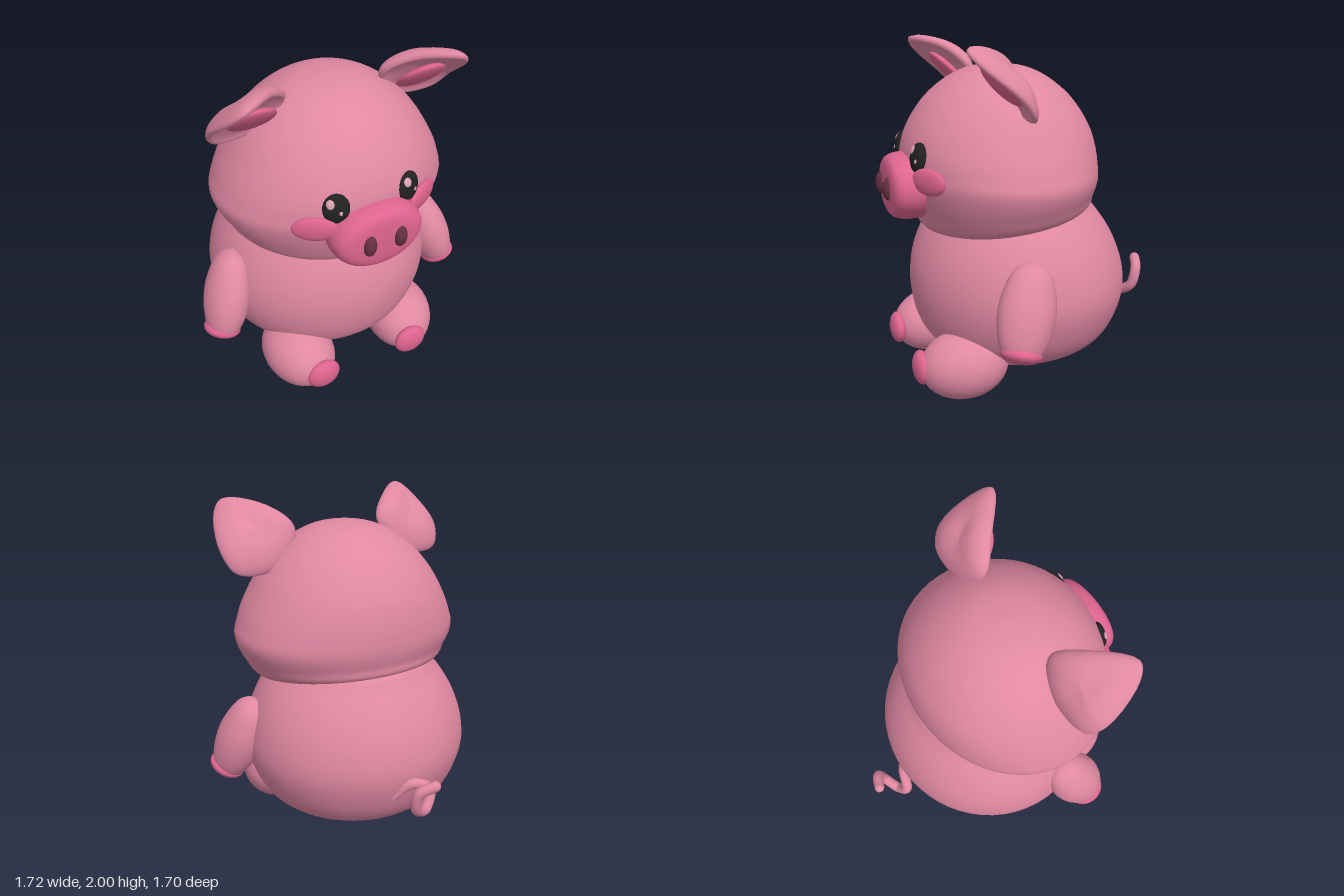
import * as THREE from 'three';

const mat = (name, color) => {
  const m = new THREE.MeshStandardMaterial({ color });
  m.name = name;
  return m;
};
const V = (x, y, z) => new THREE.Vector3(x, y, z);

// Smooth closed skin over a grid of points: at(row 0..1, around 0..1)
function skin(rows, cols, at) {
  const pos = [], index = [];
  for (let i = 0; i <= rows; i++) {
    for (let j = 0; j < cols; j++) {
      const p = at(i / rows, j / cols);
      pos.push(p.x, p.y, p.z);
      if (i === rows) continue;
      const a = i * cols + j, b = i * cols + (j + 1) % cols;
      index.push(a, b, b + cols, a, b + cols, a + cols);
    }
  }
  const g = new THREE.BufferGeometry();
  g.setAttribute('position', new THREE.Float32BufferAttribute(pos, 3));
  g.setIndex(index);
  g.computeVertexNormals();
  return g;
}

// Elliptical sections, bottom to top: [y, half width, front z, back z, tilt]
function loft(sections) {
  const spline = (a, b) => new THREE.SplineCurve(sections.map(s => new THREE.Vector2(s[a], s[b] ?? 0)));
  const wide = spline(1, 0), deep = spline(2, 3), tilt = spline(4, 4);
  return skin(56, 56, (t, u) => {
    const w = wide.getPoint(t), d = deep.getPoint(t), a = u * Math.PI * 2;
    const dz = (d.x - d.y) / 2 * Math.cos(a);
    return V(Math.max(w.x, 0) * Math.sin(a), w.y + dz * tilt.getPoint(t).x, (d.x + d.y) / 2 + dz);
  });
}

function ellipsoid(r, p = [0, 0, 0], rot = [0, 0, 0]) {
  const q = new THREE.Quaternion().setFromEuler(new THREE.Euler(...rot));
  return new THREE.SphereGeometry(1, 32, 20)
    .applyMatrix4(new THREE.Matrix4().compose(V(...p), q, V(...r)));
}

const lathe = (pts, n = 36) => new THREE.LatheGeometry(
  new THREE.SplineCurve(pts.map(p => new THREE.Vector2(...p))).getPoints(28)
    .map(p => new THREE.Vector2(Math.max(p.x, 0), p.y)), n);

// Reflected copy with its corners put back in order
function mirrored(geo) {
  const g = geo.clone().applyMatrix4(new THREE.Matrix4().makeScale(-1, 1, 1));
  const ix = g.index.array;
  for (let i = 0; i < ix.length; i += 3) [ix[i], ix[i + 1]] = [ix[i + 1], ix[i]];
  return g;
}

export function createModel() {
  const model = new THREE.Group();
  model.name = 'pig';
  const skinPink = mat('skin pink', 0xe088a2), rose = mat('rose', 0xde6490);
  const maroon = mat('nostril maroon', 0x64303f), black = mat('eye black', 0x222222);
  const glint = mat('eye glint', 0xdda0b0);

  const add = (name, geo, material, parent = model) => {
    const m = new THREE.Mesh(geo, material);
    m.name = name;
    parent.add(m);
    return m;
  };
  const pair = (name, geo, material) => {
    add('left' + name, geo, material);
    add('right' + name, mirrored(geo), material);
  };

  // Body with a flat seat
  add('body', loft([
    [0.14, 0, 0.02, 0.02, -0.03], [0.14, 0.28, 0.3, -0.26, -0.03], [0.155, 0.42, 0.44, -0.4, -0.02],
    [0.24, 0.55, 0.56, -0.51], [0.36, 0.63, 0.635, -0.585], [0.53, 0.68, 0.67, -0.63],
    [0.7, 0.665, 0.665, -0.61], [0.86, 0.605, 0.62, -0.545], [1.0, 0.51, 0.54, -0.45],
    [1.1, 0.38, 0.4, -0.35], [1.2, 0, 0.02, 0.02],
  ]), skinPink);

  // Head, broad at the cheeks and domed on top
  add('head', loft([
    [1.01, 0, 0.1, 0.1, -0.147], [1.0, 0.3, 0.36, -0.17, -0.147], [1.0, 0.545, 0.575, -0.385, -0.147],
    [1.1, 0.635, 0.655, -0.41, -0.07], [1.22, 0.685, 0.7, -0.43], [1.31, 0.663, 0.71, -0.432],
    [1.4, 0.625, 0.705, -0.422], [1.5, 0.57, 0.675, -0.395], [1.6, 0.505, 0.62, -0.34],
    [1.7, 0.415, 0.54, -0.26], [1.79, 0.295, 0.425, -0.145], [1.845, 0.165, 0.3, -0.02],
    [1.865, 0, 0.14, 0.14],
  ]), skinPink);

  // Ears: an outline swept from a domed back, over the rim, into a shallow dish
  const rim = new THREE.CatmullRomCurve3([
    [0.28, 1.84, 0.22], [0.35, 1.7, 0.16], [0.49, 1.62, 0.14], [0.67, 1.63, 0.16],
    [0.73, 1.74, 0.24], [0.67, 1.93, 0.46], [0.6, 1.99, 0.5], [0.4, 1.955, 0.34],
  ].map(p => V(...p)), true);
  const mid = V(0.52, 1.8, 0.285), out = V(0, -0.7, 0.71);
  const rings = new THREE.SplineCurve([[0, -0.095], [0.5, -0.085], [0.85, -0.045], [1, 0],
    [0.93, 0.022], [0.75, 0.005], [0.4, -0.005], [0, -0.005]].map(p => new THREE.Vector2(...p)));
  pair('Ear', skin(28, 40, (t, u) => {
    const r = rings.getPoint(t);
    return rim.getPoint(u).sub(mid).multiplyScalar(Math.max(r.x, 0)).add(mid).addScaledVector(out, r.y);
  }), skinPink);
  pair('InnerEar', ellipsoid([0.135, 0.15, 0.035], [0.5, 1.79, 0.29], [0.78, 0, -0.2]), rose);

  // Snout: a rounded oval disc with two nostrils
  add('snout', lathe([[0.9, 0.5], [0.96, 0.6], [1, 0.69], [0.97, 0.75], [0.88, 0.79],
    [0.7, 0.81], [0.35, 0.818], [0, 0.82]]).scale(0.268, 1, 0.19)
    .rotateX(Math.PI / 2).translate(0, 1.195, 0), rose);
  pair('Nostril', ellipsoid([0.038, 0.065, 0.035], [0.092, 1.2, 0.815]), maroon);
  pair('Cheek', ellipsoid([0.125, 0.075, 0.03], [0.325, 1.275, 0.645], [0, 0.5, 0]), rose);

  // Eyes, each with two glints on the same side
  for (const s of [1, -1]) {
    const eye = new THREE.Group();
    eye.name = s > 0 ? 'leftEye' : 'rightEye';
    eye.position.set(0.215 * s, 1.387, 0.667);
    eye.rotation.set(-0.15, 0.32 * s, 0);
    model.add(eye);
    add('eyeball', ellipsoid([0.073, 0.086, 0.035]), black, eye);
    add('largeGlint', ellipsoid([0.022, 0.026, 0.008], [-0.032, 0.042, 0.026], [-0.3, -0.3, 0]), glint, eye);
    add('smallGlint', ellipsoid([0.01, 0.012, 0.005], [0.02, -0.015, 0.033]), glint, eye);
  }

  // Arms hang outward and forward, tipped with hooves
  const armTurn = new THREE.Quaternion().setFromUnitVectors(V(0, -1, 0), V(0.3, -0.91, 0.28).normalize());
  const place = g => g.applyQuaternion(armTurn).translate(0.685, 0.61, 0.22);
  pair('Arm', place(lathe([[0, -0.27], [0.065, -0.257], [0.112, -0.21], [0.145, -0.09], [0.148, 0.04],
    [0.115, 0.18], [0.065, 0.245], [0, 0.27]]).scale(0.88, 1, 1.08)), skinPink);
  pair('FrontHoof', place(ellipsoid([0.108, 0.052, 0.117], [0.005, -0.228, 0])), rose);

  // Legs point forward with round hooves
  pair('Leg', ellipsoid([0.205, 0.197, 0.255], [0.353, 0.2, 0.475], [0.1, -0.2, 0]), skinPink);
  pair('BackHoof', ellipsoid([0.103, 0.097, 0.05], [0.3, 0.195, 0.713]), rose);

  // Curly tail with a closed tip
  const curl = new THREE.CatmullRomCurve3([
    [0.1, 0.41, -0.57], [0.01, 0.495, -0.63], [-0.085, 0.45, -0.67], [-0.03, 0.36, -0.71],
    [0.065, 0.41, -0.755], [0.07, 0.525, -0.785], [-0.01, 0.565, -0.82],
  ].map(p => V(...p)));
  add('tail', new THREE.TubeGeometry(curl, 60, 0.032, 12), skinPink);
  add('tailTip', ellipsoid([0.031, 0.031, 0.031], [-0.01, 0.565, -0.82]), skinPink);

  return model;
}
